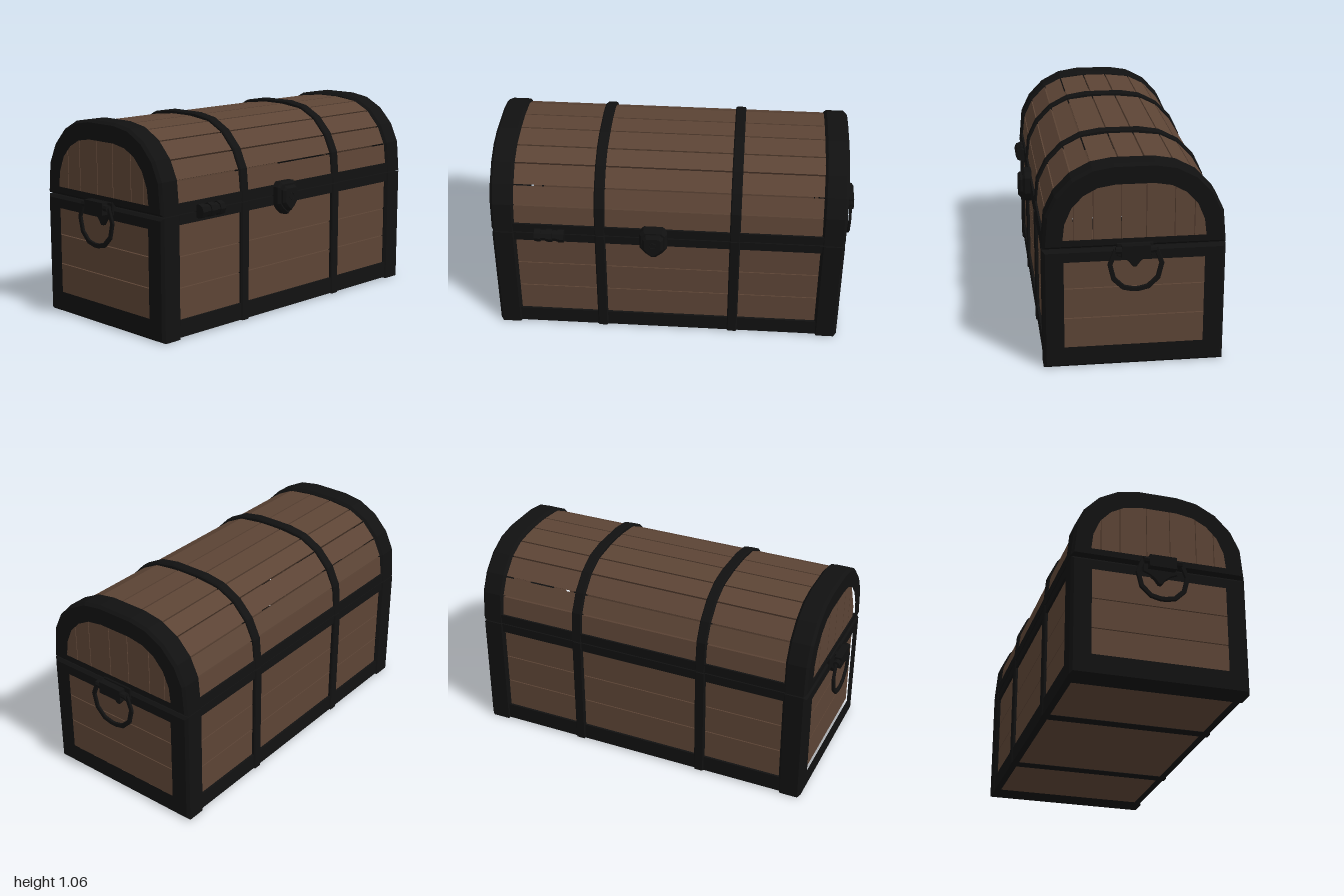
import * as THREE from 'three';

const wood = new THREE.MeshStandardMaterial({ color: 0x5c4435, flatShading: true });
const iron = new THREE.MeshStandardMaterial({ color: 0x111111, flatShading: true });

// Half profiles [z, y] of the lid, from the seam up to the crown
const lidOuter = [[0.453, 0.638], [0.438, 0.806], [0.39, 0.907], [0.309, 0.992], [0.208, 1.045], [0.101, 1.063]];
const lidInner = [[0.368, 0.67], [0.357, 0.77], [0.32, 0.856], [0.26, 0.92], [0.185, 0.96], [0.095, 0.975]];
const lidWood = [[0.442, 0.65], [0.426, 0.80], [0.38, 0.897], [0.3, 0.982], [0.205, 1.03], [0.065, 1.046]];

const mirror = (half) => [...half, ...half.map(([z, y]) => [-z, y]).reverse()];
const toShape = (pts) => new THREE.Shape(pts.map(([z, y]) => new THREE.Vector2(-z, y)));

// Extrudes a [z, y] outline along x, from x0 to x1, with optional hole and bevel
function slab(name, material, pts, x0, x1, hole = null, bevel = 0) {
  const shape = toShape(pts);
  if (hole) shape.holes.push(toShape(hole));
  const geo = new THREE.ExtrudeGeometry(shape, {
    depth: x1 - x0 - 2 * bevel, bevelEnabled: bevel > 0, bevelSegments: 1,
    bevelThickness: bevel, bevelSize: bevel, bevelOffset: -bevel,
  });
  geo.rotateY(Math.PI / 2).translate(x0 + bevel, 0, 0);
  const mesh = new THREE.Mesh(geo, material);
  mesh.name = name;
  return mesh;
}

// Box given by its lower and upper corners
function box(name, material, [x0, y0, z0], [x1, y1, z1]) {
  const mesh = new THREE.Mesh(new THREE.BoxGeometry(x1 - x0, y1 - y0, z1 - z0), material);
  mesh.position.set((x0 + x1) / 2, (y0 + y1) / 2, (z0 + z1) / 2);
  mesh.name = name;
  return mesh;
}

const rect = (z, y0, y1) => [[z, y0], [z, y1], [-z, y1], [-z, y0]];

// Height of the lid opening at a given z
function archHeight(z) {
  const a = Math.abs(z);
  for (let i = 0; i < lidInner.length - 1; i++) {
    const [z0, y0] = lidInner[i], [z1, y1] = lidInner[i + 1];
    if (a <= z0 && a >= z1) return y0 + ((y1 - y0) * (z0 - a)) / (z0 - z1);
  }
  return a > 0.3 ? 0.67 : 0.975;
}

function createBody() {
  const body = new THREE.Group();
  body.name = 'body';

  // Horizontal planks on all four walls, with thin gaps between
  for (const [y0, y1] of [[0.09, 0.257], [0.262, 0.417], [0.422, 0.59]]) {
    for (const s of [-1, 1]) {
      const z = s * 0.422, x = s * 0.902;
      body.add(box('wallPlank', wood, [-0.87, y0, z - 0.013], [0.87, y1, z + 0.013]));
      body.add(box('endPlank', wood, [x - 0.013, y0, -0.4], [x + 0.013, y1, 0.4]));
    }
  }
  body.add(box('floor', wood, [-0.87, 0.012, -0.43], [0.87, 0.035, 0.43]));

  // Iron end frames, straps and rails
  for (const s of [-1, 1]) {
    const [a, b] = s > 0 ? [0.81, 0.935] : [-0.935, -0.81];
    body.add(slab('bodyEndFrame', iron, rect(0.453, 0, 0.632), a, b, rect(0.363, 0.097, 0.582), 0.014));
    const strap = [[0.453, 0.632], [0.453, 0.004], [-0.453, 0.004], [-0.453, 0.632],
      [-0.42, 0.632], [-0.42, 0.03], [0.42, 0.03], [0.42, 0.632]];
    body.add(slab('bodyStrap', iron, strap, s * 0.358 - 0.028, s * 0.358 + 0.028, null, 0.006));
    const z = s * 0.43;
    body.add(box('bottomRail', iron, [-0.83, 0.008, z - 0.017], [0.83, 0.097, z + 0.017]));
    body.add(box('upperRail', iron, [-0.83, 0.583, z - 0.017], [0.83, 0.632, z + 0.017]));
  }
  return body;
}

function createLid() {
  const lid = new THREE.Group();
  lid.name = 'lid';

  // One long plank per facet of the arch
  const arch = mirror(lidWood);
  for (let i = 0; i < arch.length - 1; i++) {
    const a = new THREE.Vector2(...arch[i]), b = new THREE.Vector2(...arch[i + 1]);
    const dir = b.clone().sub(a).normalize();
    const inward = new THREE.Vector2(-dir.y, dir.x).multiplyScalar(0.025);
    a.addScaledVector(dir, 0.004);
    b.addScaledVector(dir, -0.004);
    const c = b.clone().add(inward).addScaledVector(dir, -0.004);
    const d = a.clone().add(inward).addScaledVector(dir, 0.004);
    lid.add(slab('roofPlank', wood, [a, b, c, d].map((p) => [p.x, p.y]), -0.87, 0.87));
  }

  // Upright planks closing each end, cut to the arch
  const cuts = [-0.39, -0.298, -0.2, -0.06, 0.063, 0.202, 0.298, 0.39];
  for (const s of [-1, 1]) {
    for (let i = 0; i < cuts.length - 1; i++) {
      const z0 = cuts[i] + 0.002, z1 = cuts[i + 1] - 0.002;
      const pts = [[z0, 0.65], [z0, archHeight(z0) + 0.04], [z1, archHeight(z1) + 0.04], [z1, 0.65]];
      lid.add(slab('lidEndPlank', wood, pts, s * 0.902 - 0.013, s * 0.902 + 0.013));
    }

    // Iron arches and rails
    const [a, b] = s > 0 ? [0.81, 0.935] : [-0.935, -0.81];
    lid.add(slab('lidEndFrame', iron, mirror(lidOuter), a, b, mirror(lidInner), 0.014));
    const under = lidOuter.map(([z, y]) => [z * 0.92, y === 0.638 ? y : y - 0.035]);
    const strap = [...mirror(lidOuter), ...mirror(under).reverse()];
    lid.add(slab('lidStrap', iron, strap, s * 0.358 - 0.028, s * 0.358 + 0.028, null, 0.006));
    const z = s * 0.43;
    lid.add(box('lidRail', iron, [-0.83, 0.638, z - 0.018], [0.83, 0.69, z + 0.018]));
  }
  return lid;
}

// Shield lock: stacked plates on the front
function createLock() {
  const lock = new THREE.Group();
  lock.name = 'lock';
  const half = [[0.05, 0.085], [0.073, 0.06], [0.073, -0.03], [0.045, -0.065], [0.012, -0.092]];
  const plate = (name, k, z0, z1) => {
    const shape = new THREE.Shape(mirror(half).map(([x, y]) => new THREE.Vector2(x * k, y * k)));
    const geo = new THREE.ExtrudeGeometry(shape, {
      depth: z1 - z0 - 0.012, bevelThickness: 0.012, bevelSize: 0.012, bevelOffset: -0.012, bevelSegments: 1,
    });
    const mesh = new THREE.Mesh(geo.translate(0, 0, z0), iron);
    mesh.name = name;
    lock.add(mesh);
  };
  plate('lockPlate', 1, 0.44, 0.488);
  plate('lockFace', 0.76, 0.47, 0.512);
  const keyhole = new THREE.Mesh(new THREE.TorusGeometry(0.018, 0.006, 4, 8), iron);
  keyhole.position.set(0, 0.01, 0.508);
  keyhole.name = 'keyholeRim';
  lock.add(keyhole);
  lock.position.set(-0.072, 0.622, 0);
  return lock;
}

// Small barrel catch made of knuckles
function createCatch() {
  const group = new THREE.Group();
  group.name = 'barrelCatch';
  for (let i = 0; i < 5; i++) {
    const r = i % 2 ? 0.03 : 0.037;
    const knuckle = new THREE.Mesh(new THREE.CylinderGeometry(r, r, 0.033, 8), iron);
    knuckle.rotation.z = Math.PI / 2;
    knuckle.position.set(-0.685 + i * 0.031, 0.636, 0.461);
    knuckle.name = 'knuckle';
    group.add(knuckle);
  }
  return group;
}

// Drop ring, pivot bar and pointed plate on one end
function createHandle(s) {
  const handle = new THREE.Group();
  handle.name = s > 0 ? 'leftHandle' : 'rightHandle';
  const line = mirror([[0.1, 0.64], [0.128, 0.565], [0.11, 0.49], [0.062, 0.443], [0.015, 0.432]]);
  const grow = (k) => line.map(([z, y]) => [z * k, 0.56 + (y - 0.56) * k]);
  const ring = [...grow(1.09), ...grow(0.9).reverse()];
  const x = s * 0.977;
  handle.add(slab('ring', iron, ring, x - 0.007, x + 0.007, null, 0.003));

  const bar = new THREE.Mesh(new THREE.CylinderGeometry(0.018, 0.018, 0.2, 8), iron);
  bar.rotation.x = Math.PI / 2;
  bar.position.set(x, 0.638, 0);
  bar.name = 'pivotBar';
  handle.add(bar);
  handle.add(box('pivotClasp', iron, [x - 0.018, 0.6, -0.07], [x + 0.018, 0.664, 0.07]));
  handle.add(box('pivotPin', iron, [s * 0.95 - 0.025, 0.625, -0.012], [s * 0.95 + 0.025, 0.645, 0.012]));

  const plate = mirror([[0.09, 0.66], [0.09, 0.595], [0.055, 0.58], [0.03, 0.562], [0.008, 0.532]]);
  handle.add(slab('handlePlate', iron, plate, s * 0.93 - 0.012, s * 0.93 + 0.012, null, 0.004));
  return handle;
}

export function createModel() {
  const chest = new THREE.Group();
  chest.name = 'chest';
  chest.add(createBody(), createLid(), createLock(), createCatch(), createHandle(1), createHandle(-1));
  chest.position.z = -0.027;
  const model = new THREE.Group();
  model.add(chest);
  return model;
}
